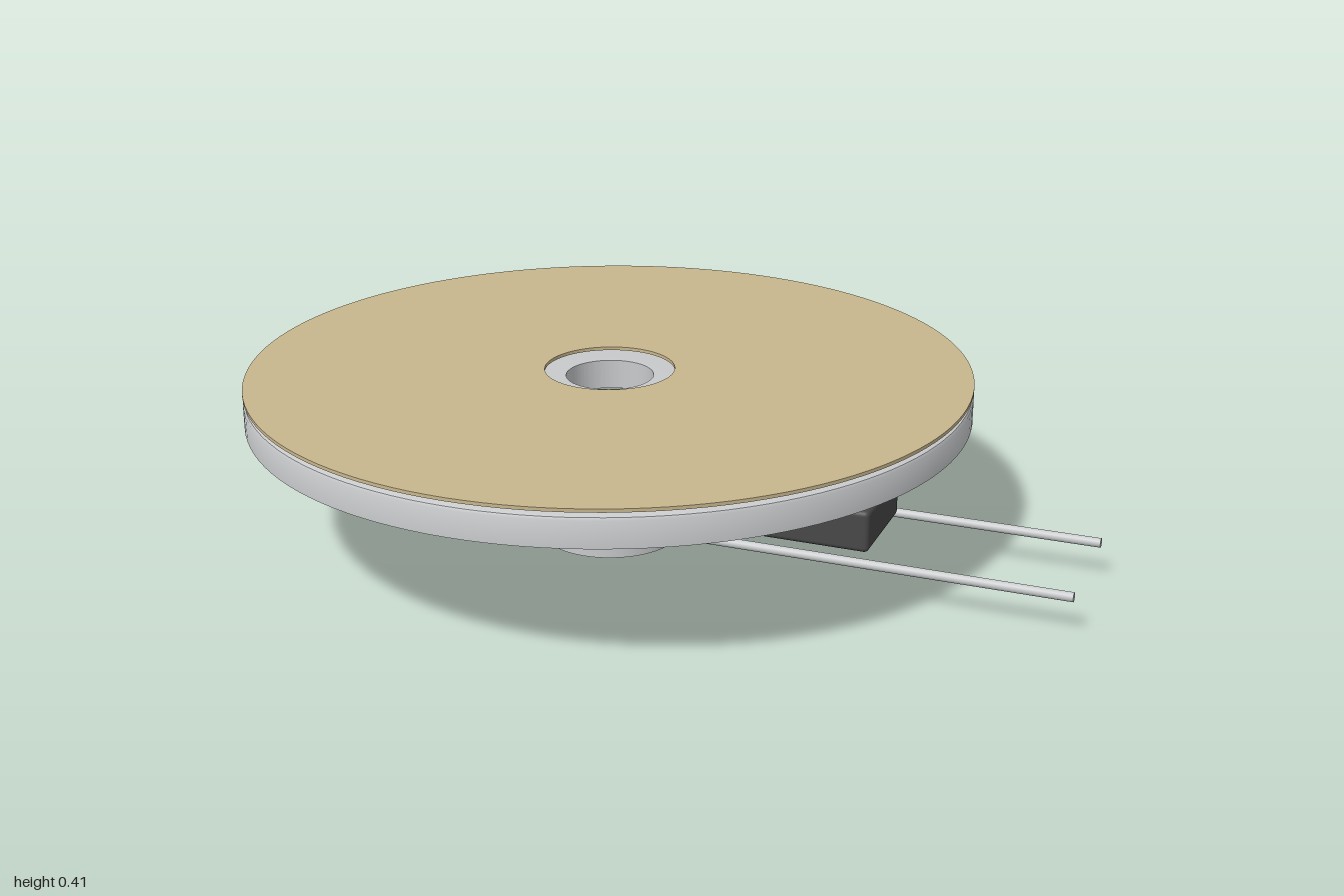
import * as THREE from 'three';
import { RoundedBoxGeometry } from 'three/addons/geometries/RoundedBoxGeometry.js';
import { toCreasedNormals } from 'three/addons/utils/BufferGeometryUtils.js';

const AXIS_X = -0.15; // platter axis

export function createModel() {
  const material = (name, color) => {
    const m = new THREE.MeshStandardMaterial({ color });
    m.name = name;
    return m;
  };
  const metal = material('brushed metal', 0xc8cacc);
  const cork = material('cork', 0xc8b78e);
  const dark = material('dark plastic', 0x484848);

  const model = new THREE.Group();
  model.name = 'turntable';

  const add = (name, geometry, mat, x, y, z) => {
    const mesh = new THREE.Mesh(geometry, mat);
    mesh.name = name;
    mesh.position.set(x, y, z);
    model.add(mesh);
    return mesh;
  };

  // Solid cylinder standing between two heights
  const drum = (name, radius, y0, y1, x, mat) =>
    add(name, new THREE.CylinderGeometry(radius, radius, y1 - y0, 64), mat, x, (y0 + y1) / 2, 0);

  // Ring turned from a closed profile, listed anticlockwise from the inner bottom
  const ring = (name, profile, mat) => {
    const points = [...profile, profile[0]].map(([r, y]) => new THREE.Vector2(r, y));
    add(name, toCreasedNormals(new THREE.LatheGeometry(points, 128), 0.5), mat, AXIS_X, 0, 0);
  };

  // Platter with softened top rim and a centre hole
  ring('platter', [
    [0.103, 0.327], [0.85, 0.327], [0.85, 0.388], [0.847, 0.394], [0.841, 0.397], [0.103, 0.397],
  ], metal);

  // Slip mat just above the platter
  ring('mat', [[0.153, 0.406], [0.85, 0.406], [0.85, 0.414], [0.153, 0.414]], cork);

  // Bearing housing and the spindle hub above it
  drum('bearingBase', 0.169, 0, 0.17, AXIS_X, metal);
  drum('spindleHub', 0.094, 0.2, 0.268, AXIS_X, metal);

  // Motor and pulley
  add('motor', new RoundedBoxGeometry(0.42, 0.1, 0.25, 3, 0.012), dark, 0.318, 0.148, 0);
  drum('pulley', 0.043, 0.204, 0.228, 0.315, metal);

  // Pair of support rods
  for (const side of [-1, 1]) {
    const rod = add(side > 0 ? 'frontRod' : 'backRod',
      new THREE.CylinderGeometry(0.011, 0.011, 1.36, 20), metal, 0.32, 0.087, side * 0.155);
    rod.rotation.z = Math.PI / 2;
  }

  return model;
}
